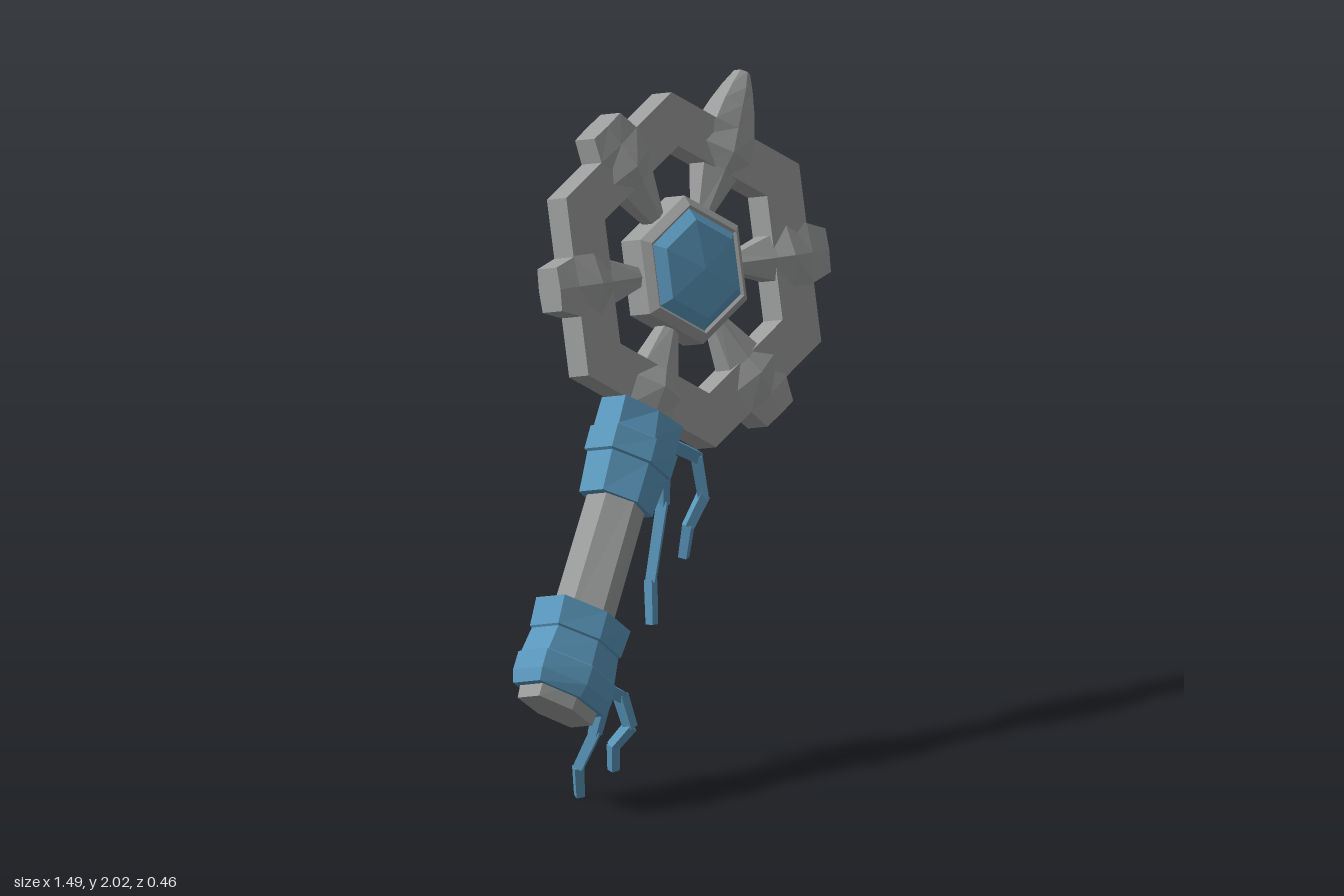
import * as THREE from 'three';

const silver = new THREE.MeshStandardMaterial({ color: 0x9a9c9b });
silver.name = 'silver grey';
const blue = new THREE.MeshStandardMaterial({ color: 0x5a97bc });
blue.name = 'steel blue';

// Faceted mesh with hard edges
function part(geometry, material, name) {
  const g = geometry.index ? geometry.toNonIndexed() : geometry;
  g.computeVertexNormals();
  const mesh = new THREE.Mesh(g, material);
  mesh.name = name;
  return mesh;
}

// Six-sided bar along y; each station is [y, halfWidth, halfEdge, halfRidge]
function bar(stations) {
  const pos = [], idx = [], n = 6;
  for (const [y, w, e, h] of stations) {
    for (const [x, z] of [[0, h], [w, e], [w, -e], [0, -h], [-w, -e], [-w, e]]) pos.push(x, y, z);
  }
  const top = (stations.length - 1) * n;
  for (let s = 0; s < top; s += n) {
    for (let i = 0; i < n; i++) {
      const a = s + i, b = s + (i + 1) % n;
      idx.push(a, b, b + n, a, b + n, a + n);
    }
  }
  for (let i = 1; i < n - 1; i++) {
    idx.push(0, i + 1, i, top, top + i, top + i + 1);
  }
  const g = new THREE.BufferGeometry();
  g.setAttribute('position', new THREE.Float32BufferAttribute(pos, 3));
  g.setIndex(idx);
  return g;
}

function hexPoints(r) {
  return Array.from({ length: 6 }, (_, i) =>
    new THREE.Vector2(r * Math.cos(i * Math.PI / 3), r * Math.sin(i * Math.PI / 3)));
}

// Hexagonal turned form facing z, corners in line with the ring corners
function hexLathe(profile) {
  const g = new THREE.LatheGeometry(profile.map(([r, y]) => new THREE.Vector2(r, y)), 6);
  return g.rotateY(Math.PI / 6).rotateX(Math.PI / 2);
}

// Hanging strap: tapered four-sided segments between points
function strap(points, name) {
  const group = new THREE.Group();
  group.name = name;
  const v = points.map(p => new THREE.Vector3(...p));
  const radius = i => 0.027 - 0.002 * i;
  for (let i = 0; i < v.length - 1; i++) {
    const dir = v[i + 1].clone().sub(v[i]);
    const g = new THREE.CylinderGeometry(radius(i + 1), radius(i), dir.length() + 0.008, 4);
    g.rotateY(Math.PI / 4);
    const m = part(g, blue, 'strapSegment');
    m.position.copy(v[i]).addScaledVector(dir, 0.5);
    m.quaternion.setFromUnitVectors(new THREE.Vector3(0, 1, 0), dir.normalize());
    group.add(m);
  }
  return group;
}

export function createModel() {
  const model = new THREE.Group();
  model.name = 'scepter';

  // Staff lies in one tilted plane: local y runs along the handle, z to the front
  const staff = new THREE.Group();
  staff.name = 'staff';
  const front = new THREE.Vector3(-0.2, 0.27, 1).normalize();
  const along = new THREE.Vector3(0.588, 0.809, -0.101).normalize();
  const side = along.clone().cross(front).normalize();
  along.crossVectors(front, side);
  staff.quaternion.setFromRotationMatrix(new THREE.Matrix4().makeBasis(side, along, front));
  staff.position.set(0.208, 1.478, -0.03);
  model.add(staff);

  // Open hexagonal ring
  const shape = new THREE.Shape(hexPoints(0.538));
  shape.holes.push(new THREE.Path(hexPoints(0.375).reverse()));
  const ring = new THREE.ExtrudeGeometry(shape, { depth: 0.09, bevelEnabled: false });
  ring.translate(0, 0, -0.045);
  staff.add(part(ring, silver, 'ring'));

  // Ridged spokes ending in knobs, the top one in a horn, the lower one under the collar
  const spoke = [[0.18, 0.025, 0.02, 0.03], [0.33, 0.07, 0.034, 0.055], [0.385, 0.13, 0.034, 0.072]];
  const knob = [[0.466, 0.09, 0.046, 0.056], [0.538, 0.066, 0.045, 0.05]];
  const horn = [[0.466, 0.08, 0.046, 0.06], [0.54, 0.062, 0.035, 0.05], [0.6, 0.042, 0.025, 0.04], [0.652, 0.02, 0.015, 0.025]];
  for (let i = 0; i < 6; i++) {
    const tip = i === 0 ? horn : i === 3 ? [[0.48, 0.09, 0.046, 0.06]] : knob;
    const m = part(bar([...spoke, ...tip]), silver, i === 0 ? 'hornSpoke' : 'spoke');
    m.rotation.z = i * Math.PI / 3;
    staff.add(m);
  }

  // Hub frame and the gem showing on both faces
  staff.add(part(hexLathe([[0.18, -0.055], [0.195, -0.065], [0.225, -0.045], [0.225, 0.045],
    [0.195, 0.065], [0.18, 0.055]]), silver, 'hubFrame'));
  staff.add(part(hexLathe([[0, -0.1], [0.15, -0.085], [0.19, -0.055], [0.19, 0.055],
    [0.15, 0.085], [0, 0.1]]), blue, 'gem'));

  // Handle shaft and end cap
  staff.add(part(bar([[-1.2, 0.084, 0.045, 0.09], [-0.7, 0.08, 0.045, 0.085]]), silver, 'shaft'));
  staff.add(part(bar([[-1.45, 0.112, 0.05, 0.08], [-1.36, 0.118, 0.055, 0.09]]), silver, 'endCap'));

  // Stepped wrapped collars
  staff.add(part(bar([[-0.768, 0.104, 0.055, 0.1], [-0.64, 0.115, 0.058, 0.1],
    [-0.635, 0.124, 0.064, 0.108], [-0.56, 0.126, 0.064, 0.105],
    [-0.555, 0.119, 0.058, 0.095], [-0.465, 0.122, 0.055, 0.075]]), blue, 'upperCollar'));
  staff.add(part(bar([[-1.41, 0.135, 0.062, 0.1], [-1.37, 0.145, 0.068, 0.115],
    [-1.31, 0.145, 0.068, 0.118], [-1.305, 0.138, 0.064, 0.112],
    [-1.225, 0.126, 0.062, 0.108], [-1.22, 0.132, 0.066, 0.114],
    [-1.13, 0.139, 0.066, 0.112]]), blue, 'lowerCollar'));

  // Straps hanging from the collars
  model.add(strap([[-0.05, 1.0, 0.05], [0.02, 0.95, 0.03], [0.03, 0.8, 0.02],
    [-0.055, 0.58, 0.04], [-0.07, 0.455, 0.055]], 'upperLongStrap'));
  model.add(strap([[-0.04, 1.02, 0.07], [0.095, 0.945, 0.1], [0.115, 0.82, 0.11],
    [0.06, 0.735, 0.095], [0.058, 0.64, 0.08]], 'upperShortStrap'));
  model.add(strap([[-0.5, 0.37, 0.13], [-0.43, 0.3, 0.14], [-0.43, 0.2, 0.11],
    [-0.475, 0.095, 0.08], [-0.455, 0.006, 0.07]], 'lowerLongStrap'));
  model.add(strap([[-0.5, 0.38, 0.14], [-0.375, 0.31, 0.165], [-0.355, 0.215, 0.185],
    [-0.385, 0.155, 0.145], [-0.375, 0.08, 0.138]], 'lowerShortStrap'));

  return model;
}
